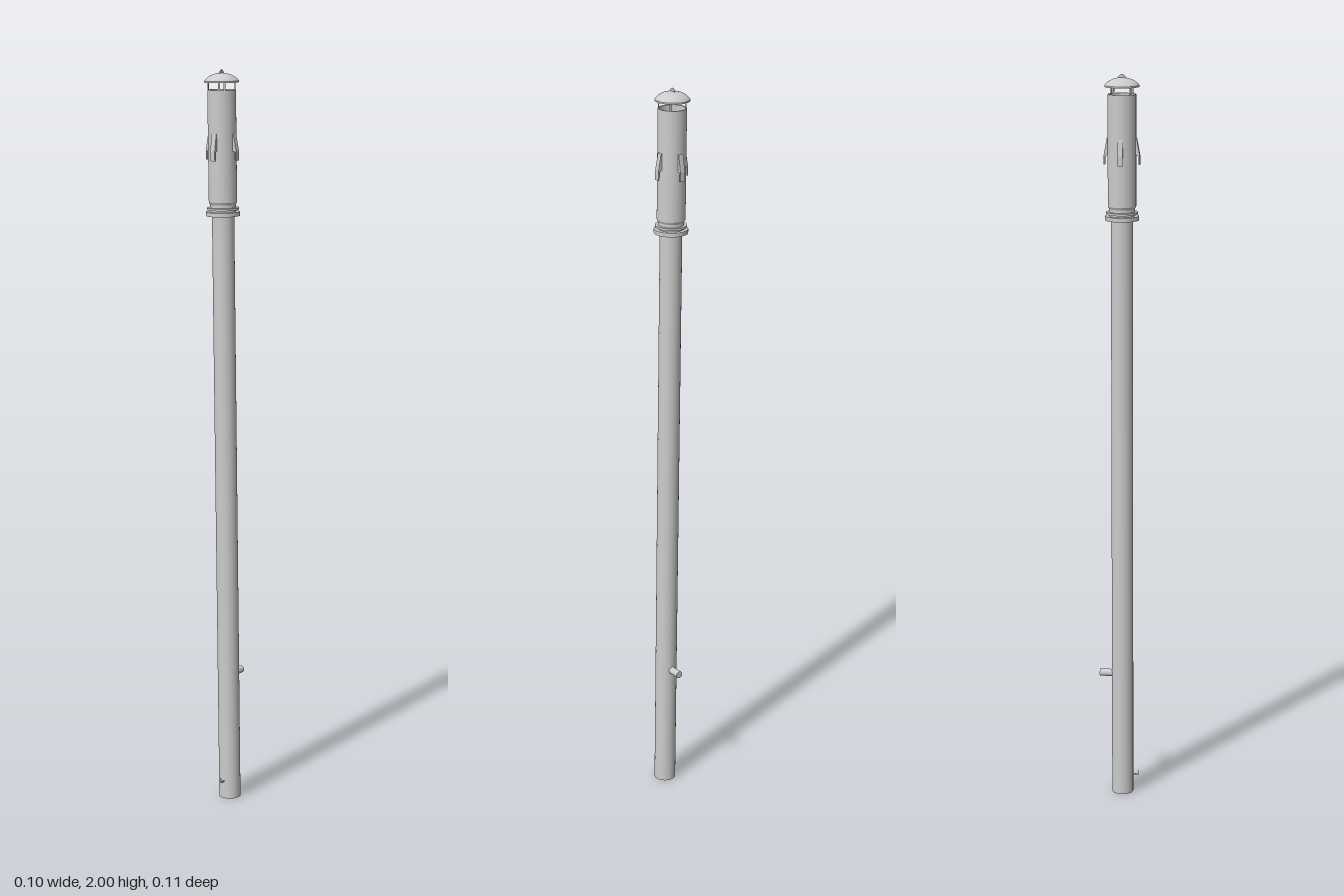
import * as THREE from 'three';

const material = new THREE.MeshStandardMaterial({ color: 0xcccccc, side: THREE.DoubleSide });

export function createModel() {
  const model = new THREE.Group();
  model.name = 'flue';

  // The whole flue leans slightly sideways around its foot
  const flue = new THREE.Group();
  flue.name = 'leaningFlue';
  flue.position.set(0.021, 0, 0.005);
  flue.rotation.z = 0.0138;
  model.add(flue);

  const add = (name, geometry, parent = flue) => {
    const mesh = new THREE.Mesh(geometry, material);
    mesh.name = name;
    parent.add(mesh);
    return mesh;
  };

  // Lathe from [radius, height] points; every segment keeps its own hard edge
  const lathe = (name, points) => {
    const group = new THREE.Group();
    group.name = name;
    for (let i = 0; i < points.length - 1; i++) {
      const pair = [points[i], points[i + 1]].map(([r, y]) => new THREE.Vector2(r, y));
      add(name + 'Band', new THREE.LatheGeometry(pair, 40), group);
    }
    flue.add(group);
  };

  // Main pipe with closed foot
  lathe('mainPipe', [[0, 0], [0.0295, 0], [0.0295, 1.65]]);

  // Collar: two flanges with a groove between pipe and head
  lathe('lowerFlange', [[0.029, 1.618], [0.045, 1.618], [0.045, 1.629], [0.034, 1.629],
    [0.034, 1.634], [0.042, 1.634], [0.042, 1.64], [0.034, 1.64], [0.034, 1.648]]);

  // Wider head sleeve, open at the top
  lathe('headSleeve', [[0.03, 1.648], [0.034, 1.648], [0.0375, 1.655], [0.0375, 1.948],
    [0.034, 1.948], [0.034, 1.9], [0.034, 1.66]]);

  // Domed rain cap: a shallow smooth arc with a short rim and hollow underside
  const dome = [];
  for (let i = 0; i <= 10; i++) {
    const a = (i / 10) * 1.2;
    dome.push(new THREE.Vector2(0.0455 * Math.sin(a) / Math.sin(1.2),
      1.971 + 0.02 * (Math.cos(a) - Math.cos(1.2)) / (1 - Math.cos(1.2))));
  }
  add('rainCap', new THREE.LatheGeometry(dome.reverse(), 40));
  lathe('capRim', [[0.0375, 1.967], [0.0455, 1.967], [0.0455, 1.971]]);

  // Small ridge on the crown of the cap
  const fin = new THREE.Shape();
  fin.moveTo(-0.012, 1.985);
  fin.lineTo(0.012, 1.985);
  fin.quadraticCurveTo(0.008, 1.999, 0, 2);
  fin.quadraticCurveTo(-0.008, 1.999, -0.012, 1.985);
  const finGeometry = new THREE.ExtrudeGeometry(fin, { depth: 0.002, bevelEnabled: false });
  finGeometry.translate(0, 0, -0.001).rotateY(Math.PI / 2);
  add('capRidge', finGeometry);

  // Sloping clip profile, running outwards and down from the sleeve wall
  const clip = new THREE.Shape();
  clip.moveTo(0.0365, 1.835);
  clip.lineTo(0.039, 1.835);
  clip.lineTo(0.0475, 1.79);
  clip.lineTo(0.0475, 1.765);
  clip.lineTo(0.0445, 1.765);
  clip.lineTo(0.0445, 1.787);
  clip.lineTo(0.0365, 1.79);
  const clipGeometry = new THREE.ExtrudeGeometry(clip, { depth: 0.014, bevelEnabled: false });
  clipGeometry.translate(0, 0, -0.007);

  // Four clips around the sleeve and four struts carrying the cap
  for (let i = 0; i < 4; i++) {
    add('sideClip', clipGeometry).rotation.y = i * Math.PI / 2;
    const a = (i + 0.5) * Math.PI / 2;
    const strut = add('capStrut', new THREE.BoxGeometry(0.002, 0.036, 0.005));
    strut.position.set(0.0355 * Math.cos(a), 1.956, 0.0355 * Math.sin(a));
    strut.rotation.y = -a;
  }

  // Short outlet stub at the back
  const stub = add('outletStub', new THREE.CylinderGeometry(0.01, 0.01, 0.039, 24));
  stub.rotation.x = Math.PI / 2;
  stub.position.set(0, 0.35, -0.0435);

  // Small hooked cleat near the foot at the front
  add('cleatArm', new THREE.BoxGeometry(0.003, 0.003, 0.017)).position.set(0, 0.05, 0.0365);
  add('cleatTip', new THREE.BoxGeometry(0.003, 0.015, 0.002)).position.set(0, 0.056, 0.044);

  return model;
}
